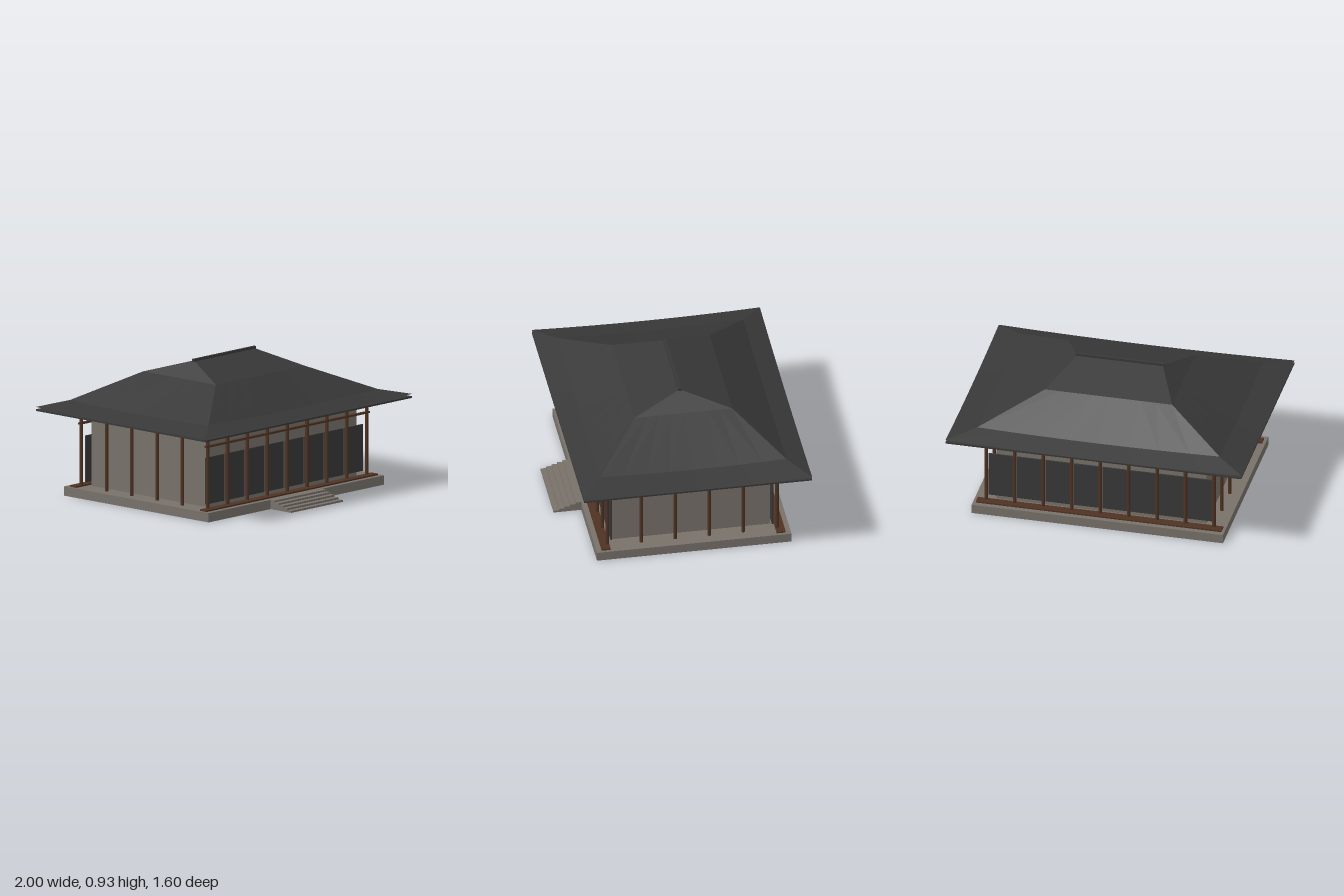
import * as THREE from 'three';

const CZ = -0.035; // the building sits slightly behind the entry steps

export function createModel() {
  const group = new THREE.Group();
  const material = (name, color) => {
    const m = new THREE.MeshStandardMaterial({ color });
    m.name = name;
    return m;
  };
  const stone = material('stone', 0x78716a);
  const wood = material('dark wood', 0x4f3323);
  const slate = material('charcoal slate', 0x383838);
  const tiles = material('roof tiles', 0x383838);
  tiles.side = THREE.DoubleSide;

  const add = (name, geometry, mat, x, y, z) => {
    const mesh = new THREE.Mesh(geometry, mat);
    mesh.name = name;
    mesh.position.set(x, y, z);
    group.add(mesh);
    return mesh;
  };
  const box = (name, mat, w, y0, y1, d, x, z) =>
    add(name, new THREE.BoxGeometry(w, y1 - y0, d), mat, x, (y0 + y1) / 2, z);

  // Stone platform, steps and hall walls
  box('platform', stone, 1.7, 0, 0.062, 1.3, 0, CZ);
  for (let i = 0; i < 5; i++) {
    const depth = 0.185 - i * 0.037;
    box('entryStep', stone, 0.5, 0, 0.0124 * (i + 1), depth, 0, 0.615 + depth / 2);
  }
  box('hallWalls', stone, 1.42, 0.062, 0.58, 1.06, 0, CZ);

  // Columns around the veranda
  const column = (x, z) =>
    add('column', new THREE.CylinderGeometry(0.012, 0.012, 0.58, 10), wood, x, 0.29, z);
  const step = 0.1925, reach = 0.567;
  for (const side of [1, -1]) {
    const z = CZ + side * reach;
    for (let i = -4; i <= 4; i++) {
      column(i * step, z);
      box('columnCap', wood, 0.032, 0.568, 0.58, 0.06, i * step, CZ + side * 0.585);
    }
    for (let i = 1; i < 5; i++) column(side * 4 * step, CZ + reach - i * reach * 0.4);

    // Sill, tie beam and shutters along the front and back
    box('sill', wood, 1.66, 0.062, 0.072, 0.06, 0, CZ + side * 0.585);
    box('tieBeam', wood, 1.58, 0.48, 0.493, 0.02, 0, z);
    for (let i = 0; i < 8; i++)
      box('shutter', slate, 0.175, 0.092, 0.405, 0.01, (i - 3.5) * step, CZ + side * 0.539);
  }

  // Flat eave board under the roof
  box('eaveBoard', slate, 2, 0.576, 0.587, 1.524, 0, CZ);
  add('hippedRoof', roofGeometry(), tiles, 0, 0, CZ);
  box('ridgeCap', slate, 0.6, 0.903, 0.925, 0.02, 0, CZ);
  return group;
}

// Hipped roof from rectangular rings whose lower edges lift toward the corners
function roofGeometry() {
  const rings = [ // half width, half depth, middle height, corner lift
    [1, 0.762, 0.587, 0.016],
    [0.82, 0.62, 0.63, 0.013],
    [0.43, 0.327, 0.817, 0],
    [0.29, 0.002, 0.912, 0],
  ];
  const corners = [[-1, 1], [1, 1], [1, -1], [-1, -1]];
  const segments = 8;
  const point = ([w, d, y, lift], side, t) => {
    const a = corners[side], b = corners[(side + 1) % 4];
    const u = 2 * t - 1;
    return [
      w * (a[0] + (b[0] - a[0]) * t),
      y + lift * u * u,
      d * (a[1] + (b[1] - a[1]) * t),
    ];
  };
  const positions = [];
  for (let r = 0; r < rings.length - 1; r++) {
    for (let side = 0; side < 4; side++) {
      for (let i = 0; i < segments; i++) {
        const t0 = i / segments, t1 = (i + 1) / segments;
        const a = point(rings[r], side, t0), b = point(rings[r], side, t1);
        const c = point(rings[r + 1], side, t1), d = point(rings[r + 1], side, t0);
        positions.push(...a, ...b, ...c, ...a, ...c, ...d);
      }
    }
  }
  const geometry = new THREE.BufferGeometry();
  geometry.setAttribute('position', new THREE.Float32BufferAttribute(positions, 3));
  geometry.computeVertexNormals();
  return geometry;
}
